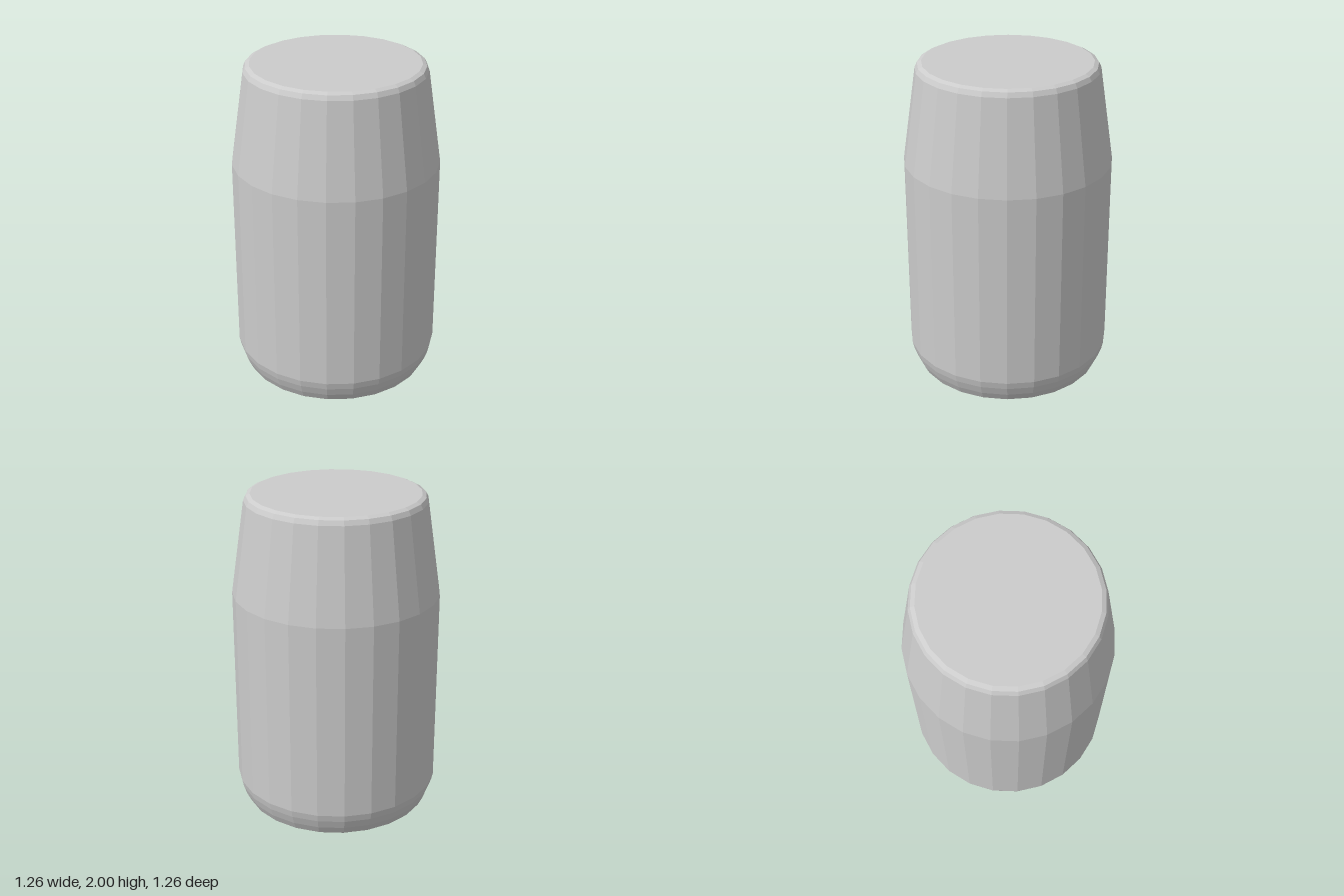
import * as THREE from 'three';

const SIDES = 24;

// Revolve a profile of [radius, height] pairs, listed from bottom to top
function turned(name, profile, material) {
  const points = profile.map(([r, y]) => new THREE.Vector2(r, y));
  const mesh = new THREE.Mesh(new THREE.LatheGeometry(points, SIDES), material);
  mesh.name = name;
  return mesh;
}

export function createModel() {
  const group = new THREE.Group();
  group.name = 'container';
  const material = new THREE.MeshStandardMaterial({ color: 0xcccccc, flatShading: true });

  // Flat underside and rounded lower edge
  const base = turned('base', [[0, 0], [0.545, 0], [0.575, 0.02], [0.6, 0.07], [0.62, 0.125], [0.63, 0.17]], material);

  // Straight wall
  const body = turned('body', [[0.63, 0.17], [0.63, 1.39]], material);

  // Tapered upper wall
  const shoulder = turned('shoulder', [[0.63, 1.39], [0.546, 1.96]], material);

  // Bevelled rim and flat top
  const top = turned('top', [[0.546, 1.96], [0.532, 1.988], [0.507, 2], [0, 2]], material);

  group.add(base, body, shoulder, top);
  return group;
}
